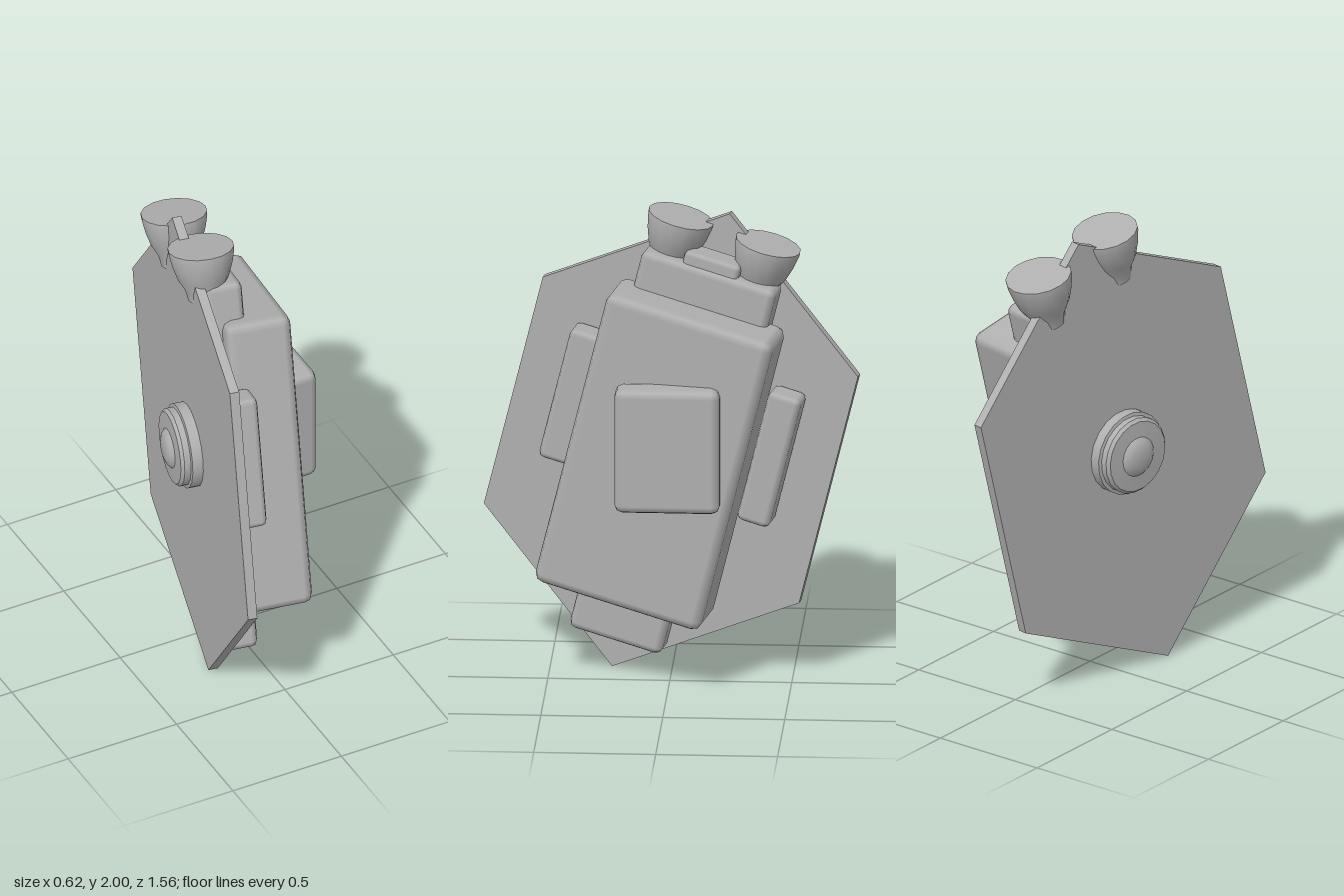
import * as THREE from 'three';
import { toCreasedNormals } from 'three/addons/utils/BufferGeometryUtils.js';
import { RoundedBoxGeometry } from 'three/addons/geometries/RoundedBoxGeometry.js';

const grey = new THREE.MeshStandardMaterial({ color: 0xb0b0b0 });
grey.name = 'grey';

function add(parent, name, geometry) {
  const mesh = new THREE.Mesh(geometry, grey);
  mesh.name = name;
  parent.add(mesh);
  return mesh;
}

// Chamfered box given by its [min, max] on each axis
function bevelBox(parent, name, [x0, x1], [y0, y1], [z0, z1], bevel) {
  const geometry = new RoundedBoxGeometry(x1 - x0, y1 - y0, z1 - z0, 1, bevel);
  const mesh = add(parent, name, geometry);
  mesh.position.set((x0 + x1) / 2, (y0 + y1) / 2, (z0 + z1) / 2);
  return mesh;
}

function lathe(profile, segments) {
  const points = profile.map(([r, y]) => new THREE.Vector2(r, y));
  return toCreasedNormals(new THREE.LatheGeometry(points, segments), 0.6);
}

export function createModel() {
  const model = new THREE.Group();
  model.name = 'rocketPack';

  // Tilted assembly: local x is the thickness, y the long axis
  const pack = new THREE.Group();
  pack.name = 'pack';
  pack.position.set(-0.155, 0.99, 0);
  pack.rotation.set(-0.245, -0.1745, 0, 'YXZ');
  model.add(pack);

  // Hexagonal back plate
  const hex = new THREE.Shape();
  for (let i = 0; i < 6; i++) {
    const t = (i * Math.PI) / 3;
    const x = -0.789 * Math.sin(t), y = 1.02 * Math.cos(t);
    if (i === 0) hex.moveTo(x, y);
    else hex.lineTo(x, y);
  }
  const plate = new THREE.ExtrudeGeometry(hex, { depth: 0.04, bevelEnabled: false });
  plate.translate(0, 0, -0.02).rotateY(Math.PI / 2);
  add(pack, 'backPlate', plate);

  // Stacked body blocks
  bevelBox(pack, 'mainBody', [0.075, 0.357], [-0.65, 0.65], [-0.36, 0.36], 0.04);
  bevelBox(pack, 'upperBlock', [0.02, 0.18], [0.53, 0.81], [-0.29, 0.29], 0.03);
  bevelBox(pack, 'topCap', [0.03, 0.16], [0.7, 0.86], [-0.12, 0.12], 0.02);
  bevelBox(pack, 'lowerBlock', [0.015, 0.15], [-0.87, -0.5], [-0.2, 0.2], 0.03);

  // Mirrored side pods and nozzles
  const bell = lathe([[0, 0], [0.07, 0], [0.08, 0.05], [0.107, 0.1],
    [0.126, 0.16], [0.137, 0.215], [0.137, 0.23], [0, 0.23]], 16);
  for (const [side, s] of [['front', 1], ['rear', -1]]) {
    const pod = bevelBox(pack, side + 'Pod', [0.015, 0.148], [-0.2, 0.378], [0.36, 0.5], 0.025);
    pod.position.z *= s;
    add(pack, side + 'Nozzle', bell).position.set(0.04, 0.725, 0.189 * s);
  }

  // Round hub with a shallow dome on the back of the plate
  const hub = lathe([[0.178, 0.01], [0.178, 0.065], [0.164, 0.068], [0.164, 0.095],
    [0.152, 0.108], [0.085, 0.112], [0.07, 0.126], [0.045, 0.135], [0, 0.136]], 20);
  hub.rotateZ(Math.PI / 2);
  add(pack, 'hub', hub);

  // Upright panel on the main body
  bevelBox(model, 'sidePanel', [0.165, 0.306], [0.805, 1.335], [-0.22, 0.212], 0.034);

  return model;
}
